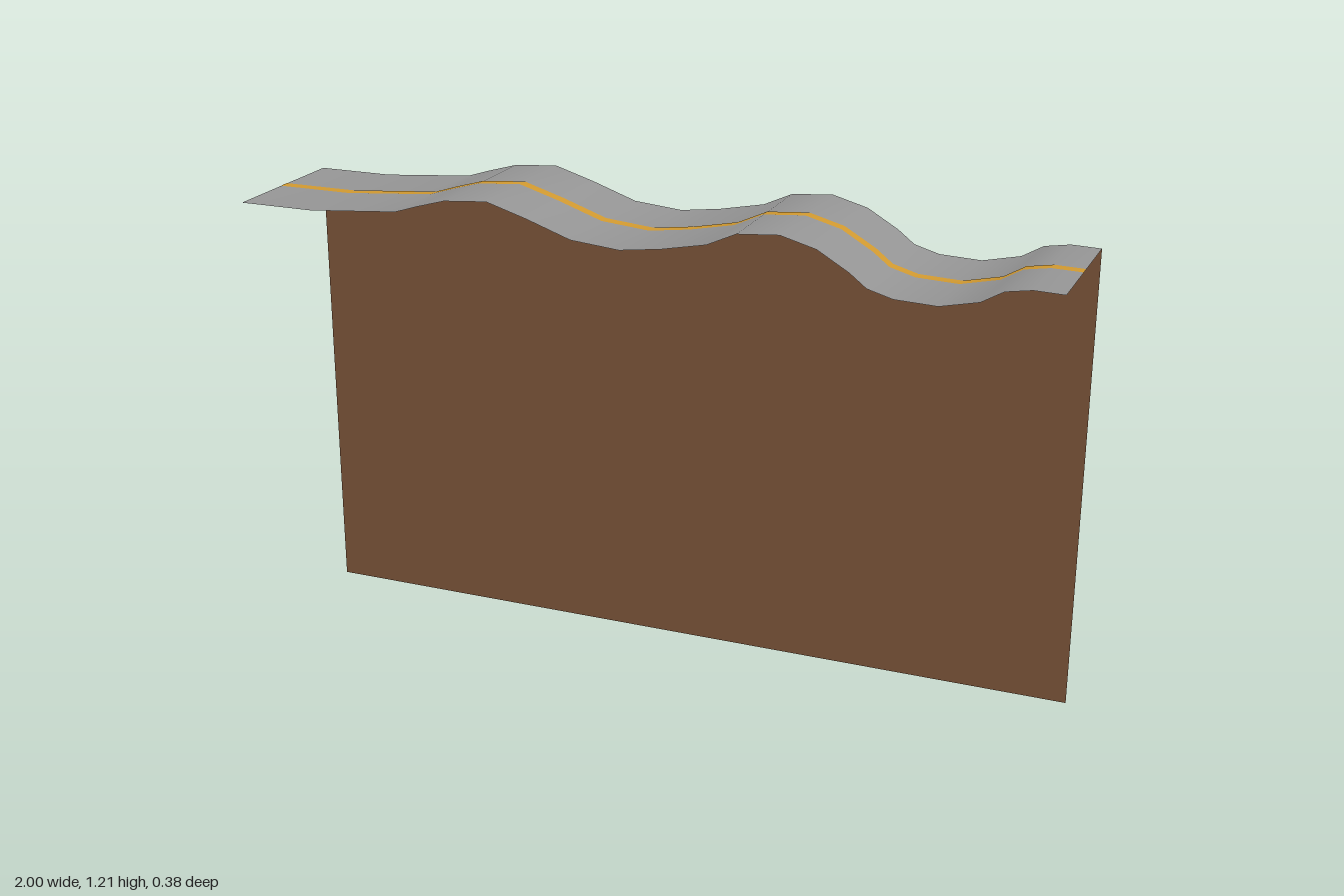
import * as THREE from 'three';

// Height of the hilly road along x
const profile = [
  [-1, 1.142], [-0.81, 1.142], [-0.7, 1.151], [-0.58, 1.161], [-0.52, 1.18], [-0.45, 1.2],
  [-0.34, 1.209], [-0.24, 1.179], [-0.13, 1.141], [-0.01, 1.13], [0.09, 1.143], [0.2, 1.165],
  [0.27, 1.197], [0.37, 1.205], [0.455, 1.182], [0.53, 1.138], [0.57, 1.107], [0.63, 1.09],
  [0.73, 1.086], [0.82, 1.106], [0.87, 1.135], [0.93, 1.145], [1, 1.143],
];
const HALF_WIDTH = 0.19;

// Strip across z that follows the profile
function ribbon(name, halfWidth, lift, material) {
  const geometry = new THREE.PlaneGeometry(2, 2 * halfWidth, profile.length - 1, 1);
  geometry.rotateX(-Math.PI / 2);
  const pos = geometry.attributes.position;
  for (let i = 0; i < pos.count; i++) {
    const [x, y] = profile[i % profile.length];
    pos.setX(i, x);
    pos.setY(i, y + lift);
  }
  geometry.computeVertexNormals();
  const mesh = new THREE.Mesh(geometry, material);
  mesh.name = name;
  return mesh;
}

export function createModel() {
  const asphalt = new THREE.MeshStandardMaterial({ color: 0x969696, side: THREE.DoubleSide });
  asphalt.name = 'asphalt grey';
  const paint = new THREE.MeshStandardMaterial({ color: 0xd29a30, side: THREE.DoubleSide });
  paint.name = 'line orange';
  const soil = new THREE.MeshStandardMaterial({ color: 0x775137, side: THREE.DoubleSide });
  soil.name = 'soil brown';

  const model = new THREE.Group();
  model.name = 'hillyRoad';

  // Road surface and its centre line
  model.add(ribbon('roadSurface', HALF_WIDTH, 0, asphalt));
  model.add(ribbon('centreLine', 0.014, 0.0008, paint));

  // Flat earth face under the back edge of the road
  const outline = new THREE.Shape();
  outline.moveTo(-1, 0);
  outline.lineTo(1, 0);
  for (const [x, y] of [...profile].reverse()) outline.lineTo(x, y);
  outline.closePath();
  const earth = new THREE.Mesh(new THREE.ShapeGeometry(outline), soil);
  earth.name = 'earthFace';
  earth.position.z = -HALF_WIDTH;
  model.add(earth);

  return model;
}
